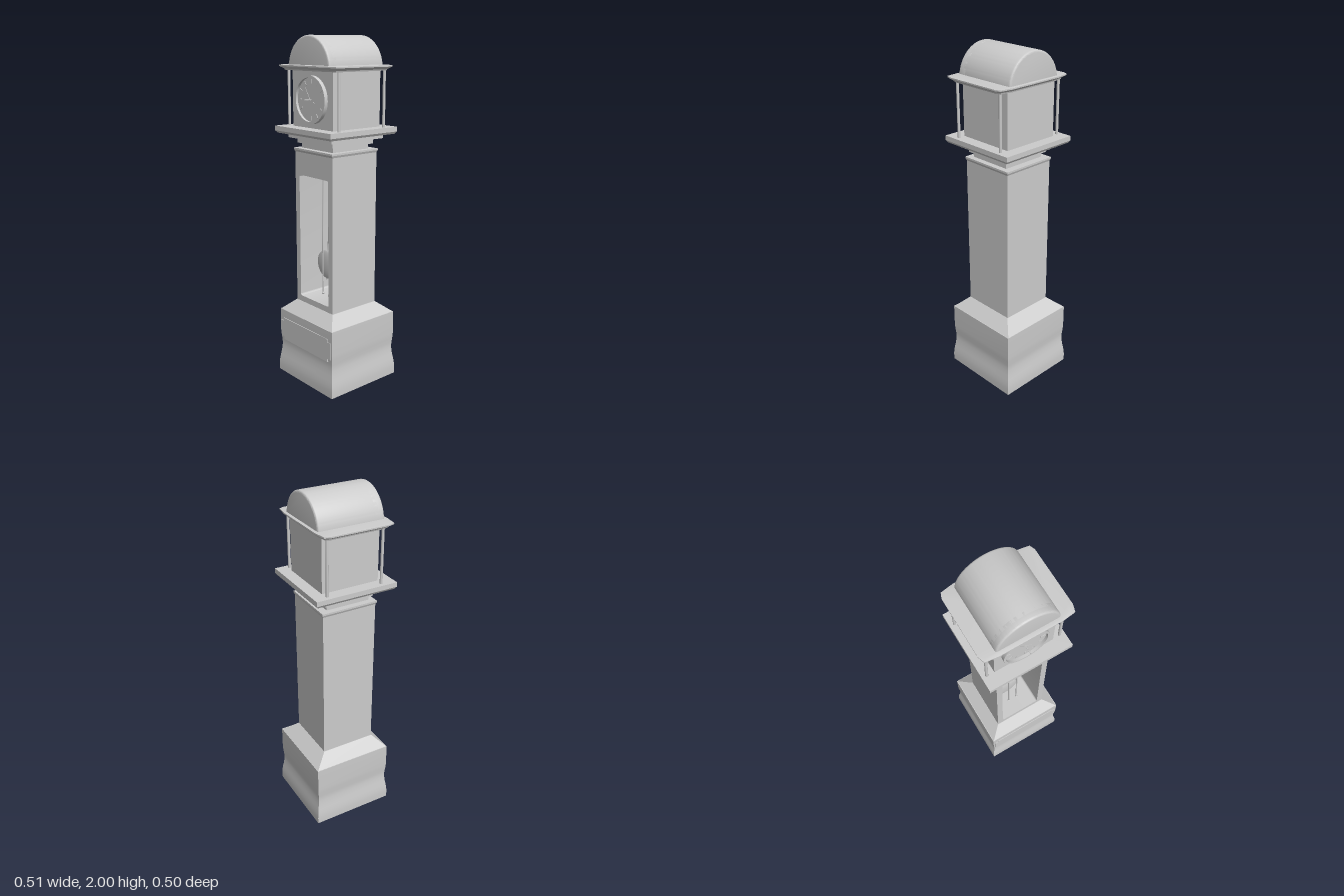
import * as THREE from 'three';
import { toCreasedNormals } from 'three/addons/utils/BufferGeometryUtils.js';

const material = new THREE.MeshStandardMaterial({ color: 0xcccccc });

// Rectangular ring, counterclockwise seen from above
const rect = (hx, zf, zb) => [[hx, zf], [hx, zb], [-hx, zb], [-hx, zf]];

// Closed solid through stacked rings: rows of [y, ring]
function loft(rows) {
  const pos = [];
  const at = (row, j) => {
    const p = row[1][j % row[1].length];
    return [p[0], row[0], p[1]];
  };
  const n = rows[0][1].length;
  for (let i = 0; i < rows.length - 1; i++) {
    for (let j = 0; j < n; j++) {
      const a = at(rows[i], j), b = at(rows[i], j + 1);
      const c = at(rows[i + 1], j + 1), d = at(rows[i + 1], j);
      pos.push(...a, ...b, ...c, ...a, ...c, ...d);
    }
  }
  const first = rows[0], last = rows[rows.length - 1];
  for (let j = 1; j < n - 1; j++) {
    pos.push(...at(first, 0), ...at(first, j + 1), ...at(first, j));
    pos.push(...at(last, 0), ...at(last, j), ...at(last, j + 1));
  }
  const g = new THREE.BufferGeometry();
  g.setAttribute('position', new THREE.Float32BufferAttribute(pos, 3));
  return toCreasedNormals(g, 0.35);
}

// Half-round outline, used for the dome and its front
function arch(r, Type = THREE.Shape) {
  const s = new Type();
  s.moveTo(r, 0);
  s.absarc(0, 0, r, 0, Math.PI, false);
  s.lineTo(r, 0);
  return s;
}

function extrude(shape, z0, z1, bevel = 0) {
  const g = new THREE.ExtrudeGeometry(shape, {
    depth: z1 - z0 - 2 * bevel, curveSegments: 32, bevelEnabled: bevel > 0,
    bevelSize: bevel, bevelThickness: bevel, bevelOffset: -bevel, bevelSegments: 4,
  });
  g.translate(0, 0, z0 + bevel);
  return toCreasedNormals(g, 0.5);
}

function roundedRect(x0, y0, x1, y1, r) {
  const p = new THREE.Path();
  p.moveTo(x0 + r, y0);
  p.lineTo(x1 - r, y0);
  p.quadraticCurveTo(x1, y0, x1, y0 + r);
  p.lineTo(x1, y1 - r);
  p.quadraticCurveTo(x1, y1, x1 - r, y1);
  p.lineTo(x0 + r, y1);
  p.quadraticCurveTo(x0, y1, x0, y1 - r);
  p.lineTo(x0, y0 + r);
  p.quadraticCurveTo(x0, y0, x0 + r, y0);
  return p;
}

export function createModel() {
  const model = new THREE.Group();
  model.name = 'longcaseClock';
  const add = (name, geometry, x = 0, y = 0, z = 0, parent = model) => {
    const m = new THREE.Mesh(geometry, material);
    m.name = name;
    m.position.set(x, y, z);
    parent.add(m);
    return m;
  };
  const rod = (r, h, sides = 12) => new THREE.CylinderGeometry(r, r, h, sides);

  // Plinth with a curved foot and a sloping shoulder
  const foot = [[0, 0.248], [0.04, 0.249], [0.07, 0.247], [0.1, 0.243], [0.13, 0.238],
    [0.16, 0.235], [0.18, 0.234], [0.2, 0.235], [0.23, 0.238], [0.26, 0.24], [0.4, 0.24]];
  add('plinth', loft(foot.map(([y, h]) => [y, rect(h, h, -h)])));
  add('plinthShoulder', loft([[0.4, rect(0.236, 0.238, -0.238)], [0.465, rect(0.165, 0.172, -0.157)]]));

  // Notched plaque on the plinth
  const plaque = new THREE.Shape();
  const corners = [[0.203, 0.212], [0.203, 0.23], [0.23, 0.23], [0.23, 0.332], [0.203, 0.332], [0.203, 0.35]];
  corners.forEach(([x, y]) => plaque.lineTo(x, y));
  [...corners].reverse().forEach(([x, y]) => plaque.lineTo(-x, y));
  const plaquePoints = plaque.getPoints().slice(1);
  add('plinthPlaque', extrude(new THREE.Shape(plaquePoints), 0.225, 0.244));

  // Hollow trunk, open at the front
  const trunk = new THREE.Shape([[-0.163, 0.465], [0.163, 0.465], [0.163, 1.37], [-0.163, 1.37]]
    .map(([x, y]) => new THREE.Vector2(x, y)));
  trunk.holes.push(roundedRect(-0.127, 0.5, 0.127, 1.23, 0.012));
  add('trunk', extrude(trunk, -0.135, 0.17));
  add('trunkBack', new THREE.BoxGeometry(0.326, 0.905, 0.022), 0, 0.9175, -0.145);
  add('trunkCap', loft([[1.36, rect(0.163, 0.17, -0.156)], [1.372, rect(0.168, 0.176, -0.161)],
    [1.382, rect(0.168, 0.176, -0.161)]]));

  // Pendulum, swung a little to one side
  const pendulum = new THREE.Group();
  pendulum.name = 'pendulum';
  pendulum.position.set(0, 1.22, 0.04);
  pendulum.rotation.z = -0.07;
  model.add(pendulum);
  add('pendulumRod', rod(0.004, 0.63), 0, -0.315, 0, pendulum);
  const bob = new THREE.SphereGeometry(0.088, 40, 16);
  bob.scale(1, 1, 0.16);
  add('pendulumBob', bob, 0, -0.535, 0, pendulum);

  // Weights and hanging chains
  [[-0.08, 1.13], [-0.012, 1.125], [0.05, 1.12]].forEach(([x, y]) => {
    add('weight', rod(0.022, 0.16, 24), x, y, -0.05);
    add('weightCord', rod(0.003, 0.1, 8), x, 1.2, -0.05);
  });
  for (const x of [-0.03, 0.025]) {
    add('chain', rod(0.004, 0.71, 8), x, 0.875, 0.08);
    add('chainEnd', new THREE.SphereGeometry(0.008, 12, 8), x, 0.52, 0.08);
  }

  // Stepped neck carrying the hood
  [[1.38, 1.412, 0.135, 0.142, -0.118], [1.41, 1.44, 0.153, 0.16, -0.136], [1.44, 1.466, 0.19, 0.198, -0.18]]
    .forEach(([y0, y1, h, f, b]) => add('neckStep', loft([[y0, rect(h, f, b)], [y1, rect(h, f, b)]])));
  add('hoodFloor', loft([[1.465, rect(0.234, 0.24, -0.225)], [1.478, rect(0.243, 0.25, -0.234)],
    [1.505, rect(0.243, 0.25, -0.234)]]));

  // Hood and its corner columns
  add('hood', new THREE.BoxGeometry(0.346, 0.32, 0.34), 0, 1.662, 0.003);
  for (const x of [-0.214, 0.214]) {
    for (const z of [-0.158, 0.168]) add('column', rod(0.008, 0.32, 16), x, 1.662, z);
  }

  // Cornice with slightly drawn-in corners
  const half = [[0.17, 0.223], [0.243, 0.214], [0.255, 0.175], [0.255, -0.16], [0.243, -0.19], [0.17, -0.202]];
  const cornice = (s) => [...half, ...[...half].reverse().map(([x, z]) => [-x, z])]
    .map(([x, z]) => [x * s, 0.01 + (z - 0.01) * s]);
  add('cornice', loft([[1.813, cornice(0.9)], [1.82, cornice(0.91)], [1.831, cornice(0.985)],
    [1.834, cornice(1)], [1.841, cornice(1)], [1.844, cornice(0.93)]]));

  // Barrel roof with a recessed arched front
  const roofY = 1.823;
  add('roof', extrude(arch(0.177), -0.187, 0.18, 0.012), 0, roofY);
  const frame = arch(0.177);
  frame.holes.push(arch(0.137, THREE.Path));
  add('roofFrontFrame', extrude(frame, 0.14, 0.201, 0.01), 0, roofY);
  add('roofFrontPanel', extrude(arch(0.115), 0.17, 0.188), 0, roofY);

  // Dial: rim, face, hour marks, hands and centre pin
  const dial = new THREE.Group();
  dial.name = 'dial';
  dial.position.set(0, 1.66, 0.173);
  model.add(dial);
  const face = rod(0.122, 0.01, 48);
  face.rotateX(Math.PI / 2);
  add('dialFace', face, 0, 0, 0.002, dial);
  const rim = new THREE.Shape();
  rim.absarc(0, 0, 0.13, 0, Math.PI * 2, false);
  const bore = new THREE.Path();
  bore.absarc(0, 0, 0.119, 0, Math.PI * 2, true);
  rim.holes.push(bore);
  add('dialRim', extrude(rim, 0, 0.022), 0, 0, 0, dial);
  for (let i = 0; i < 12; i++) {
    const a = i * Math.PI / 6;
    const mark = add('hourMark', new THREE.BoxGeometry(0.006, 0.024, 0.004),
      Math.sin(a) * 0.098, Math.cos(a) * 0.098, 0.008, dial);
    mark.rotation.z = -a;
  }
  [['hourHand', 0.05, -2.1, 0.012], ['minuteHand', 0.085, 0.6, 0.016]].forEach(([name, length, angle, z]) => {
    const hand = new THREE.BoxGeometry(0.005, length, 0.002);
    hand.translate(0, length / 2 - 0.01, 0);
    add(name, hand, 0, 0, z, dial).rotation.z = angle;
  });
  const pin = rod(0.003, 0.055);
  pin.rotateX(Math.PI / 2);
  add('dialPin', pin, 0, 0, 0.029, dial);

  return model;
}
